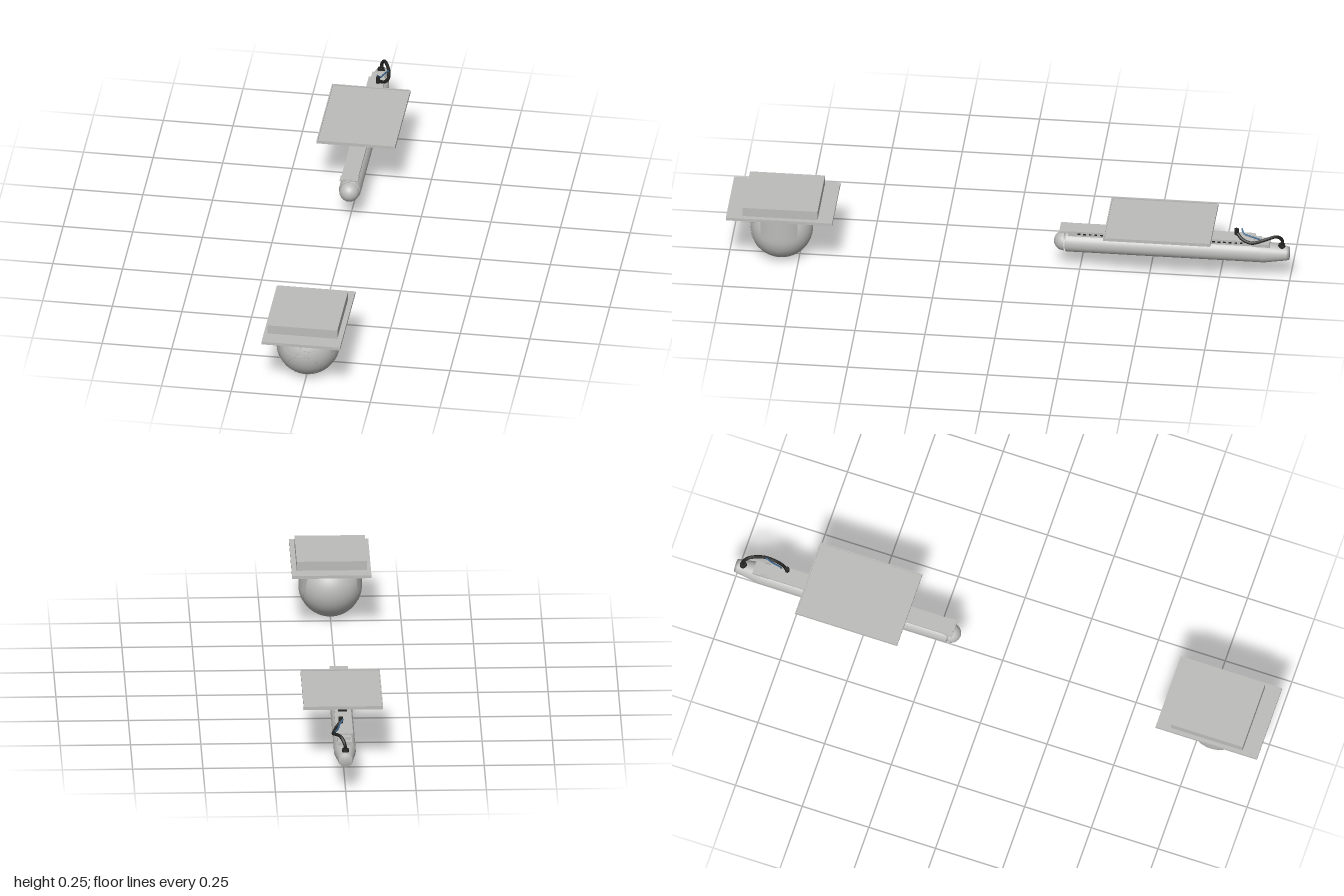
import * as THREE from 'three';

const grey = new THREE.MeshStandardMaterial({ color: 0xbcbcba, side: THREE.DoubleSide });
grey.name = 'light grey metal';
const black = new THREE.MeshStandardMaterial({ color: 0x242422 });
black.name = 'black fittings';
const blue = new THREE.MeshStandardMaterial({ color: 0x3a6690 });
blue.name = 'blue cable sleeve';

function add(parent, name, geometry, material, x = 0, y = 0, z = 0) {
  const mesh = new THREE.Mesh(geometry, material);
  mesh.name = name;
  mesh.position.set(x, y, z);
  parent.add(mesh);
  return mesh;
}
const box = (w, h, d) => new THREE.BoxGeometry(w, h, d);

// Flat rectangular frame lying in the xz plane, with its base at y = 0
function frame(w, d, innerW, innerD, h) {
  const rect = (P, a, b) => new P([
    new THREE.Vector2(-a, -b), new THREE.Vector2(a, -b),
    new THREE.Vector2(a, b), new THREE.Vector2(-a, b)]);
  const shape = rect(THREE.Shape, w / 2, d / 2);
  shape.holes.push(rect(THREE.Path, innerW / 2, innerD / 2));
  return new THREE.ExtrudeGeometry(shape, { depth: h, bevelEnabled: false }).rotateX(-Math.PI / 2);
}

// Curved yoke arm: a cylinder shell above the ball's equator, hugging the ball below
function yokeArm(side) {
  const g = new THREE.BoxGeometry(1, 1, 1, 1, 24, 14);
  const p = g.attributes.position;
  for (let i = 0; i < p.count; i++) {
    const v = p.getY(i) + 0.5;
    const y = -0.055 + v * 0.165;
    const t = Math.min(1, v / 0.5);
    const angle = p.getZ(i) * 2 * (0.03 + 0.6 * Math.sqrt(1 - (1 - t) ** 2));
    const outer = p.getX(i) > 0;
    const R = outer ? 0.113 : 0.094;
    const r = y < 0 ? Math.sqrt(R * R - y * y) : R;
    p.setXYZ(i, Math.cos(angle) * r, y, Math.sin(angle) * r);
  }
  g.computeVertexNormals();
  if (side < 0) g.rotateY(Math.PI);
  return g;
}

function createTurret() {
  const turret = new THREE.Group();
  turret.name = 'sensorTurret';
  const cz = 0.815, cy = 0.112, R = 0.112;
  // Mounting flange and the hollow housing above it
  add(turret, 'mountFlange', frame(0.282, 0.38, 0.236, 0.255, 0.011), grey, 0, 0.208, 0.81);
  add(turret, 'housingWalls', frame(0.25, 0.268, 0.236, 0.254, 0.034), grey, -0.002, 0.218, 0.808);
  add(turret, 'housingTop', box(0.25, 0.004, 0.268), grey, -0.002, 0.251, 0.808);
  add(turret, 'turntable', new THREE.CylinderGeometry(0.113, 0.113, 0.03, 48), grey, 0, 0.234, cz);
  // Ball and its two arms
  add(turret, 'sensorBall', new THREE.SphereGeometry(R, 48, 32), grey, 0, cy, cz);
  for (const s of [1, -1]) add(turret, s > 0 ? 'leftArm' : 'rightArm', yokeArm(s), grey, 0, cy, cz);
  // Window rims lying on the ball: x, y offset and radius
  for (const [x, y, r] of [[-0.004, -0.046, 0.055], [-0.045, 0.042, 0.035], [0.02, 0.062, 0.038]]) {
    const dir = new THREE.Vector3(x, y, Math.sqrt(R * R - x * x - y * y)).normalize();
    const d = Math.sqrt(R * R - r * r);
    const rim = add(turret, 'windowRim', new THREE.TorusGeometry(r, 0.0007, 6, 48), grey,
      dir.x * d, cy + dir.y * d, cz + dir.z * d);
    rim.quaternion.setFromUnitVectors(new THREE.Vector3(0, 0, 1), dir);
  }
  return turret;
}

function createPod() {
  const pod = new THREE.Group();
  pod.name = 'underslungPod';
  const cy = 0.117;
  // Round body with domed nose and tapered tail, turned about z
  const profile = [];
  for (let i = 0; i <= 10; i++) {
    const a = (i / 10) * Math.PI * 0.5;
    profile.push(new THREE.Vector2(0.036 * Math.sin(a), -0.158 - 0.037 * (1 - Math.cos(a))));
  }
  const body = [[0.036, -0.2], [0.039, -0.204], [0.039, -0.9]].map(q => new THREE.Vector2(...q));
  const tail = [[0.039, -0.9], [0.026, -0.99], [0.023, -1], [0, -1]].map(q => new THREE.Vector2(...q));
  const turned = pts => new THREE.LatheGeometry(pts.reverse(), 32).rotateX(Math.PI / 2);
  add(pod, 'noseDome', turned(profile), grey, 0, cy);
  add(pod, 'podBody', turned(body), grey, 0, cy);
  add(pod, 'tailCone', turned(tail), grey, 0, cy - 0.002);

  // Top rail: a neck, a wide cap and a front lip
  add(pod, 'railNeck', box(0.044, 0.022, 0.69), grey, 0, 0.156, -0.555);
  add(pod, 'railCap', box(0.06, 0.007, 0.69), grey, 0, 0.17, -0.53);
  add(pod, 'railLip', box(0.066, 0.005, 0.03), grey, 0, 0.17, -0.195);
  add(pod, 'railTailBlock', box(0.05, 0.012, 0.06), grey, 0, 0.154, -0.9);
  for (const s of [1, -1]) {
    for (let i = 0; i < 30; i++) {
      add(pod, 'railSlot', box(0.004, 0.006, 0.01), black, s * 0.022, 0.16, -0.25 - i * 0.02);
    }
  }

  // Hanger between rail and plate
  add(pod, 'hangerBase', box(0.032, 0.01, 0.22), black, 0, 0.178, -0.54);
  for (const z of [-0.455, -0.49, -0.6, -0.63]) {
    add(pod, 'hangerStud', new THREE.CylinderGeometry(0.009, 0.011, 0.012, 12), black, 0, 0.187, z);
  }
  add(pod, 'hangerBlock', box(0.04, 0.012, 0.13), black, 0, 0.189, -0.54);
  for (const [x, z] of [[0, -0.49], [-0.03, -0.6], [0.03, -0.6]]) {
    add(pod, 'hangerLug', box(0.026, 0.024, 0.026), black, x, 0.2, z);
  }

  // Carrier plate with a low rim
  add(pod, 'carrierPlate', box(0.28, 0.008, 0.38), grey, 0, 0.214, -0.54);
  add(pod, 'carrierRim', frame(0.282, 0.382, 0.274, 0.374, 0.012), grey, 0, 0.21, -0.54);

  // Looped cable from the tail to a loose plug
  const curve = pts => new THREE.CatmullRomCurve3(pts.map(q => new THREE.Vector3(...q)));
  const cable = curve([[0, 0.135, -0.972], [0.003, 0.17, -0.974], [0.016, 0.19, -0.955],
    [0.036, 0.184, -0.91], [0.04, 0.173, -0.87], [0.03, 0.18, -0.835], [0.014, 0.195, -0.815]]);
  add(pod, 'cable', new THREE.TubeGeometry(cable, 48, 0.006, 8), black);
  add(pod, 'cablePlug', new THREE.CylinderGeometry(0.008, 0.008, 0.022, 12), black, 0.012, 0.201, -0.812);
  add(pod, 'cableSocket', new THREE.CylinderGeometry(0.012, 0.014, 0.016, 16), black, 0, 0.143, -0.972);
  const wire = curve([[0.036, 0.187, -0.9], [0.024, 0.189, -0.87], [0.016, 0.196, -0.84], [0.004, 0.21, -0.83]]);
  add(pod, 'blueWire', new THREE.TubeGeometry(wire, 24, 0.003, 6), blue);
  return pod;
}

export function createModel() {
  const model = new THREE.Group();
  model.name = 'sensorAndPodSet';
  model.add(createTurret(), createPod());
  return model;
}
